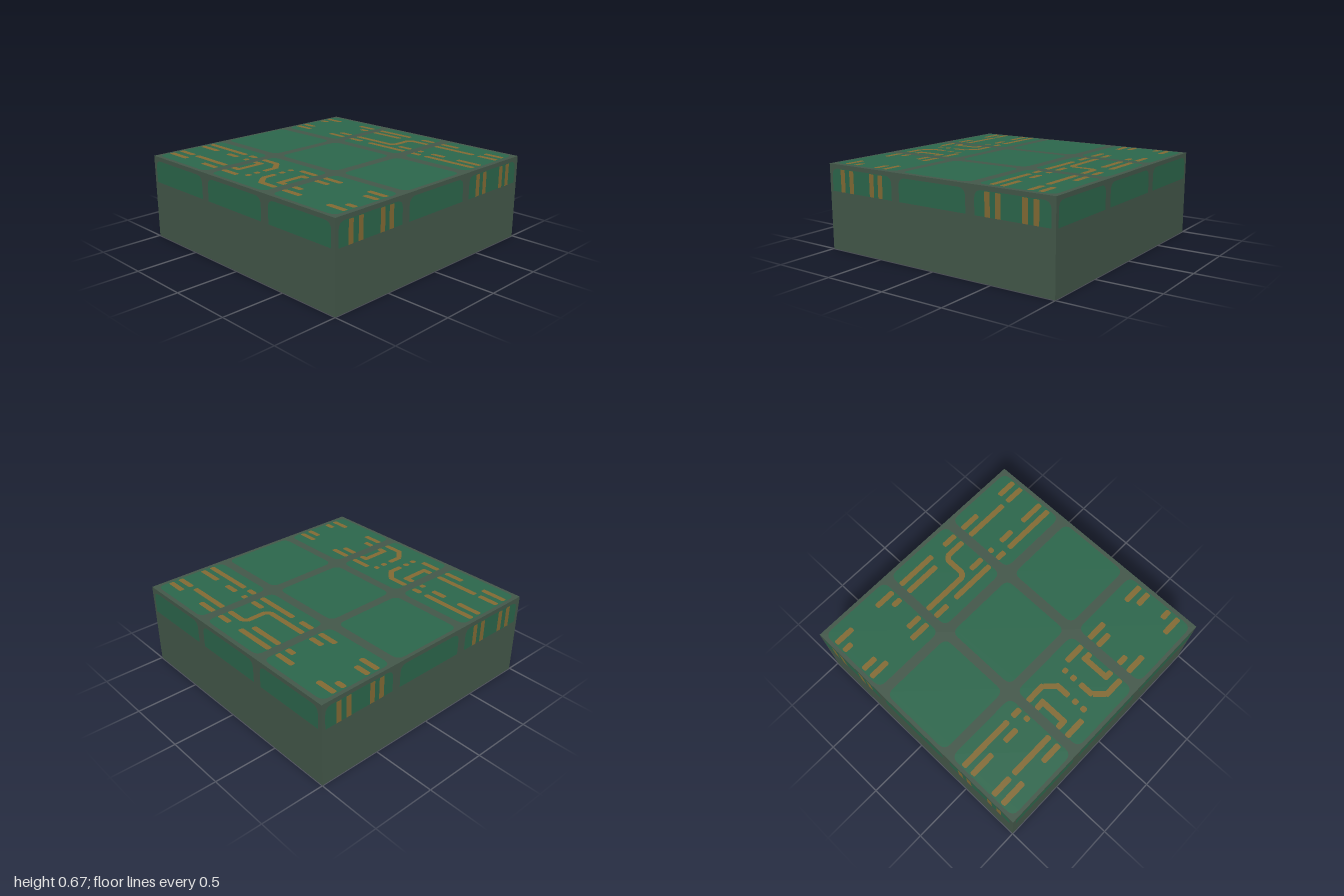
import * as THREE from 'three';

const H = 0.667;

// Rectangle with clipped corners; bottom corners may stay square
function plateShape(x0, x1, y0, y1, c, squareBottom = false) {
  const b = squareBottom ? 0 : c, s = new THREE.Shape();
  s.moveTo(x0 + b, y0);
  s.lineTo(x1 - b, y0);
  if (b) s.quadraticCurveTo(x1, y0, x1, y0 + b);
  s.lineTo(x1, y1 - c);
  s.quadraticCurveTo(x1, y1, x1 - c, y1);
  s.lineTo(x0 + c, y1);
  s.quadraticCurveTo(x0, y1, x0, y1 - c);
  s.lineTo(x0, y0 + b);
  if (b) s.quadraticCurveTo(x0, y0, x0 + b, y0);
  return s;
}

export function createModel() {
  const model = new THREE.Group();
  model.name = 'circuitSlab';
  const material = (name, color) => {
    const m = new THREE.MeshStandardMaterial({ color });
    m.name = name;
    return m;
  };
  const casing = material('greyGreenCasing', 0x44584a);
  const green = material('boardGreen', 0x2c674c);
  const copper = material('copper', 0x836b34);

  const add = (parent, name, shapes, mat, lift) => {
    const mesh = new THREE.Mesh(new THREE.ShapeGeometry(shapes, 4), mat);
    mesh.name = name;
    mesh.position.z = lift;
    parent.add(mesh);
  };

  // Solid body
  const body = new THREE.Mesh(new THREE.BoxGeometry(1.996, H - 0.003, 1.996), casing);
  body.name = 'body';
  body.position.y = (H - 0.003) / 2;
  model.add(body);

  const spans = [[-0.97, -0.37], [-0.3, 0.295], [0.37, 0.965]];
  const W = 0.022; // half width of a trace

  // Traces running front to back: x, then pairs of start and end z
  const columns = [
    [-0.86, [-0.96, -0.75, -0.55, -0.38, -0.3, -0.13, 0.12, 0.29, 0.37, 0.54, 0.79, 0.955]],
    [-0.77, [-0.96, -0.79, -0.755, -0.38, -0.3, -0.21, 0.21, 0.29, 0.37, 0.455, 0.87, 0.955]],
    [-0.565, [-0.96, -0.755, -0.63, -0.505, -0.42, -0.378, -0.3, -0.21, 0.21, 0.29, 0.37, 0.5, 0.83, 0.955]],
    [-0.48, [-0.96, -0.505, -0.46, -0.38, -0.3, -0.13, 0.12, 0.29, 0.37, 0.54, 0.79, 0.955]],
    [0.475, [-0.96, -0.795, -0.55, -0.38, -0.3, -0.17, -0.09, 0.29, 0.37, 0.455, 0.5, 0.955]],
    [0.56, [-0.96, -0.835, -0.505, -0.38, -0.3, 0.08, 0.165, 0.29, 0.37, 0.412, 0.5, 0.625, 0.745, 0.955]],
    [0.77, [-0.96, -0.88, -0.46, -0.38, -0.3, 0, 0.12, 0.29, 0.37, 0.745, 0.79, 0.955]],
    [0.855, [-0.96, -0.795, -0.55, -0.38, -0.3, 0.04, 0.165, 0.29, 0.37, 0.54, 0.79, 0.955]],
  ];
  // Cross traces: z, start x, end x
  const rows = [
    [-0.23, -0.79, -0.54], [0.23, -0.79, -0.54],
    [-0.065, -0.835, -0.79], [-0.065, -0.755, -0.71], [-0.065, -0.67, -0.54],
    [0.06, -0.79, -0.665], [0.06, -0.625, -0.58], [0.06, -0.54, -0.5],
    [0.1, 0.58, 0.75],
  ];
  // Diagonal joints: x0, z0, x1, z1
  const joints = [
    [-0.555, -0.072, -0.485, -0.138], [-0.785, 0.067, -0.855, 0.133],
    [0.56, 0.07, 0.59, 0.1], [0.74, 0.1, 0.77, 0.13],
  ];

  // Top face, drawn in x and -z
  const top = new THREE.Group();
  top.name = 'topFace';
  top.rotation.x = -Math.PI / 2;
  top.position.y = H - 0.003;
  model.add(top);
  const tiles = [];
  for (const [x0, x1] of spans) {
    for (const [z0, z1] of spans) tiles.push(plateShape(x0, x1, -z1, -z0, 0.06));
  }
  add(top, 'topTiles', tiles, green, 0.0015);

  const traces = [];
  for (const [x, ends] of columns) {
    for (let i = 0; i < ends.length; i += 2) {
      traces.push(plateShape(x - W, x + W, -ends[i + 1], -ends[i], 0.015));
    }
  }
  for (const [z, x0, x1] of rows) traces.push(plateShape(x0, x1, -z - W, -z + W, 0.015));
  for (const [x0, z0, x1, z1] of joints) {
    const a = new THREE.Vector2(x0, -z0), b = new THREE.Vector2(x1, -z1);
    const d = b.clone().sub(a).normalize().multiplyScalar(W);
    const n = new THREE.Vector2(-d.y, d.x);
    traces.push(new THREE.Shape([
      a.clone().sub(n), b.clone().sub(n), b.clone().add(n), a.clone().add(n),
    ]));
  }
  add(top, 'topTraces', traces, copper, 0.003);

  // Four sides; front and back also carry edge contacts
  ['front', 'left', 'back', 'right'].forEach((name, i) => {
    const side = new THREE.Group();
    side.name = name + 'Face';
    side.rotation.y = i * Math.PI / 2;
    model.add(side);
    add(side, name + 'Tiles',
      spans.map(([a, b]) => plateShape(a, b, 0.457, 0.632, 0.06, true)), green, 0.9992);
    if (i % 2 === 0) {
      add(side, name + 'Contacts', columns.map(([c]) => {
        const x = i === 0 ? c : -c;
        return plateShape(x - W, x + W, 0.457, 0.628, 0.006, true);
      }), copper, 1);
    }
  });
  return model;
}
